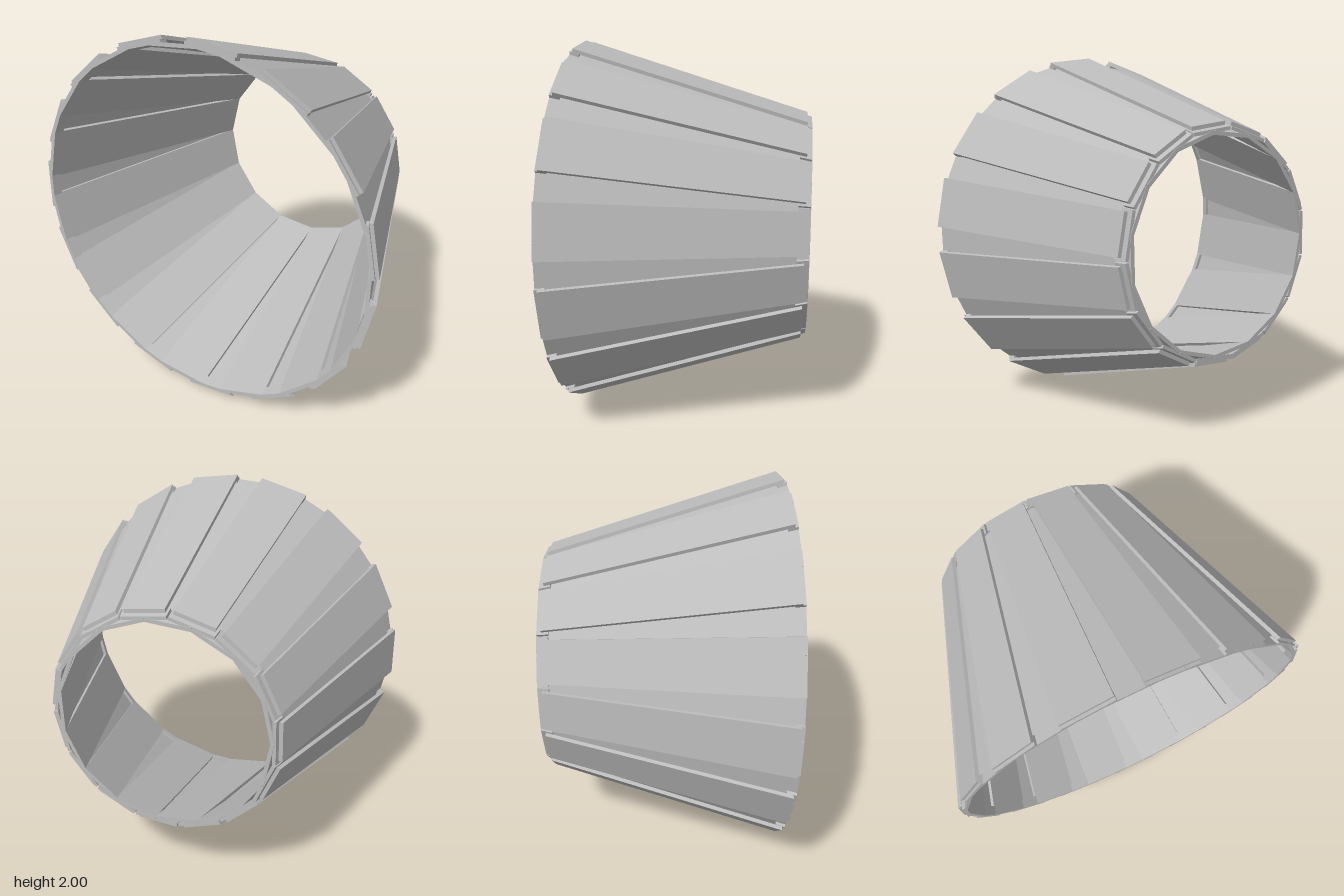
import * as THREE from 'three';

const COUNT = 15;
const STEP = 360 / COUNT;

// Tapered flat plate: x runs along the rim, y outward, z along the axis.
// Each end is [z, outer distance from the axis, width].
function plateGeometry(wide, narrow, thickness) {
  const geo = new THREE.BoxGeometry(1, 1, 1);
  const p = geo.attributes.position;
  for (let i = 0; i < p.count; i++) {
    const [z, r, w] = p.getZ(i) > 0 ? wide : narrow;
    p.setXYZ(i, p.getX(i) * w, p.getY(i) > 0 ? r : r - thickness, z);
  }
  geo.computeVertexNormals();
  return geo;
}

export function createModel() {
  const model = new THREE.Group();
  model.name = 'nozzle';
  const metal = new THREE.MeshStandardMaterial({ color: 0xbcbcbc });
  metal.name = 'grey metal';

  // Repeats one plate around the axis
  function ring(name, geo, startDegrees) {
    const group = new THREE.Group();
    group.name = name + 's';
    for (let i = 0; i < COUNT; i++) {
      const mesh = new THREE.Mesh(geo, metal);
      mesh.name = name;
      mesh.rotation.z = THREE.MathUtils.degToRad(startDegrees + i * STEP - 90);
      group.add(mesh);
    }
    group.position.y = 1;
    model.add(group);
  }

  // Outer petals with gaps between them
  ring('outerPetal', plateGeometry([0.61, 0.99, 0.272], [-0.6, 0.615, 0.215], 0.02), 10.3);

  // Inner petals behind the gaps, touching at the narrow end
  ring('innerPetal', plateGeometry([0.627, 0.967, 0.29], [-0.627, 0.568, 0.236], 0.02), 22.6);

  // Short lips that fill the space between both layers at each end
  ring('narrowLip', plateGeometry([-0.565, 0.606, 0.246], [-0.625, 0.587, 0.238], 0.018), 10.3);
  ring('wideLip', plateGeometry([0.627, 0.975, 0.272], [0.58, 0.96, 0.268], 0.02), 10.3);

  return model;
}
